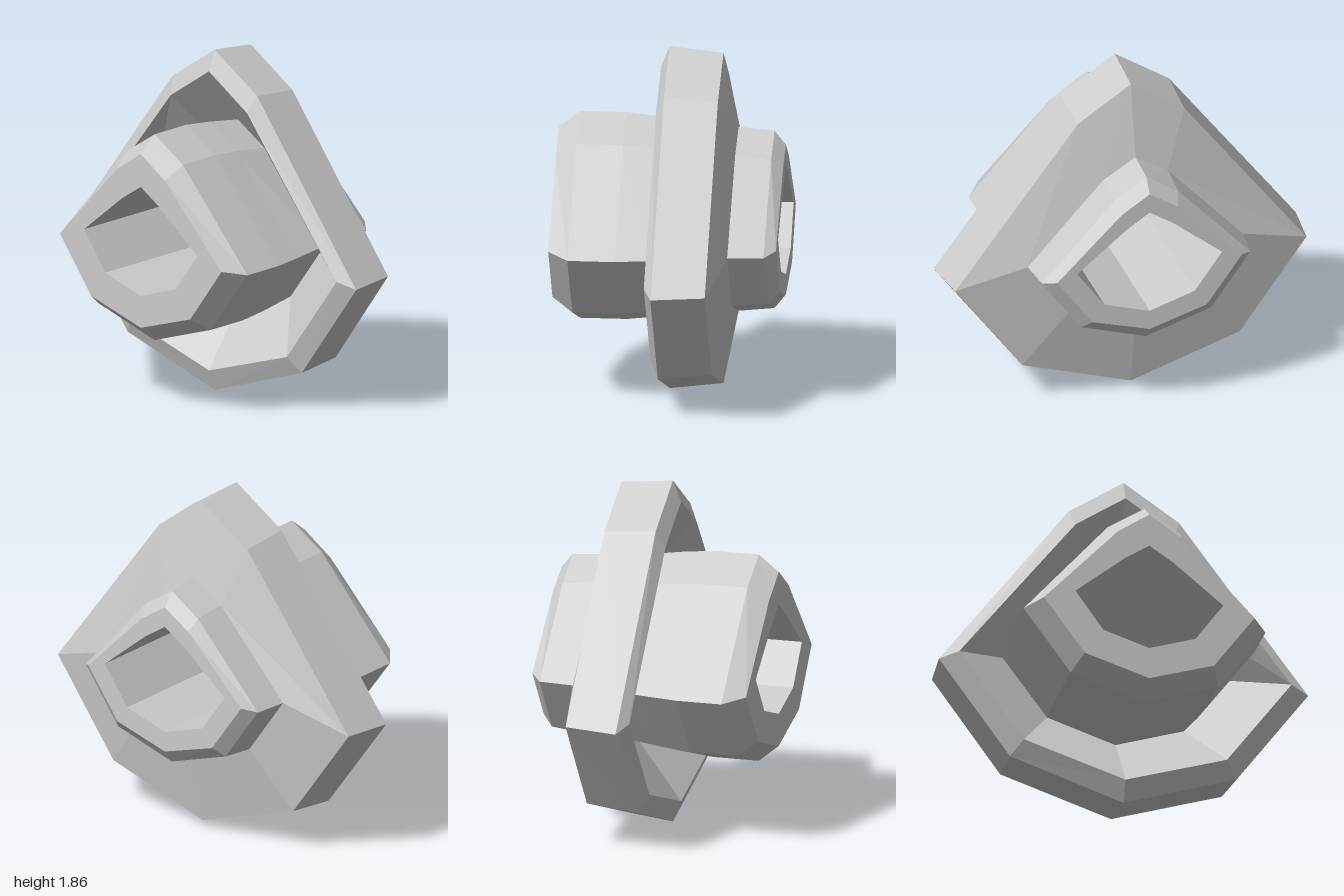
import * as THREE from 'three';

// Eight-sided section at depth z: top, shoulder, side, lower corner and bottom, mirrored in x
function ring(z, top, shX, shY, sideX, sideY, lowX, lowY, bottom) {
  const half = [[shX, shY], [sideX, sideY], [lowX, lowY]];
  const left = half.map(([x, y]) => [x, y, z]).reverse();
  const right = half.map(([x, y]) => [-x, y, z]);
  return [[0, bottom, z], ...left, [0, top, z], ...right];
}

// Skin neighbouring sections with flat facets
function loft(name, rings) {
  const pos = [];
  for (let r = 0; r < rings.length - 1; r++) {
    const a = rings[r], b = rings[r + 1];
    for (let i = 0; i < a.length; i++) {
      const j = (i + 1) % a.length;
      pos.push(...a[i], ...b[i], ...a[j], ...a[j], ...b[i], ...b[j]);
    }
  }
  const geo = new THREE.BufferGeometry();
  geo.setAttribute('position', new THREE.Float32BufferAttribute(pos, 3));
  geo.computeVertexNormals();
  const mesh = new THREE.Mesh(geo, new THREE.MeshStandardMaterial({ color: 0xcccccc, flatShading: true }));
  mesh.name = name;
  return mesh;
}

export function createModel() {
  const group = new THREE.Group();
  group.name = 'flangedCollar';

  const bore = z => ring(z, 1.23, 0.13, 1.145, 0.4, 0.925, 0.25, 0.715, 0.635);
  const recess = ring(-0.17, 1.44, 0.185, 1.32, 0.61, 0.86, 0.37, 0.54, 0.42);
  const neck = ring(-0.35, 1.43, 0.18, 1.32, 0.595, 0.865, 0.37, 0.55, 0.43);

  // Front hub: end face, chamfer, then barrel running back into the recess
  group.add(loft('frontHub', [
    bore(0.6),
    ring(0.6, 1.41, 0.17, 1.295, 0.57, 0.87, 0.35, 0.57, 0.46),
    ring(0.49, 1.495, 0.2, 1.365, 0.655, 0.845, 0.4, 0.5, 0.37),
    ring(0.24, 1.495, 0.2, 1.365, 0.655, 0.845, 0.4, 0.5, 0.37),
    ring(0.06, 1.475, 0.195, 1.35, 0.635, 0.85, 0.39, 0.515, 0.39),
    recess,
  ]));

  // Wide flange: funnel recess, front bevel, outer wall and sloped back
  group.add(loft('flange', [
    recess,
    ring(0.06, 1.75, 0.27, 1.57, 0.9, 0.765, 0.55, 0.29, 0.115),
    ring(0.015, 1.86, 0.3, 1.66, 1.0, 0.73, 0.615, 0.205, 0),
    ring(-0.27, 1.83, 0.295, 1.635, 0.97, 0.74, 0.6, 0.23, 0.035),
    neck,
  ]));

  // Rear hub with chamfered end
  group.add(loft('rearHub', [
    neck,
    ring(-0.54, 1.415, 0.175, 1.3, 0.575, 0.865, 0.36, 0.565, 0.45),
    ring(-0.6, 1.34, 0.155, 1.24, 0.51, 0.89, 0.315, 0.62, 0.525),
    bore(-0.6),
  ]));

  // Through hole
  group.add(loft('bore', [bore(-0.6), bore(0.6)]));

  return group;
}
